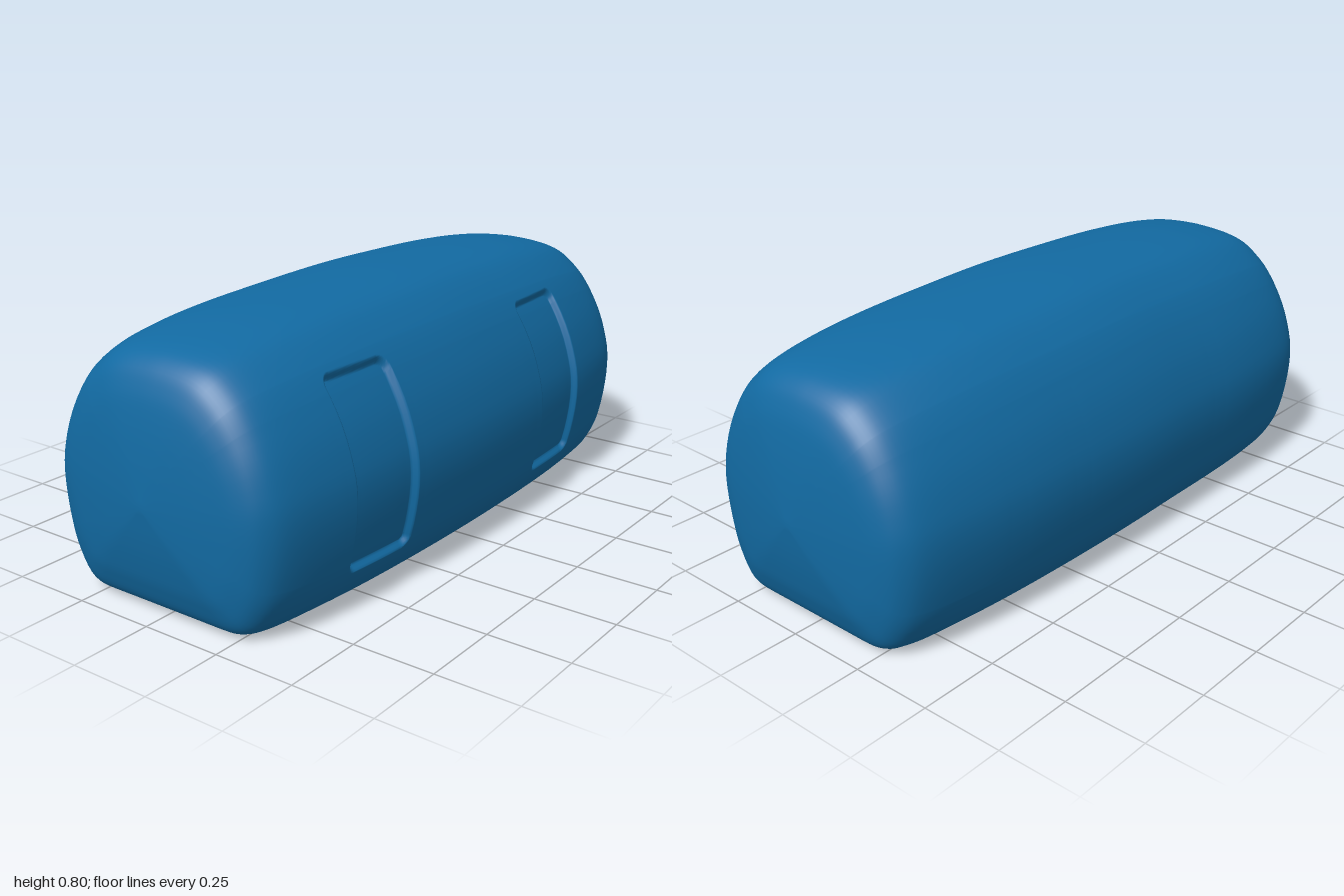
import * as THREE from 'three';

const AXIS_Y = 0.34;   // height of the long axis the sections shrink towards
const DEPTH = 0.02;    // depth of the front recesses
const RECESSES = [[-0.63, -0.375], [0.305, 0.56]]; // x ranges
const RECESS_Y = [0.12, 0.665];

// Half section at mid length: (half depth, height), bottom to top
const HALF = [[0, 0.003], [0.16, 0.003], [0.26, 0.003], [0.31, 0.007], [0.353, 0.025], [0.388, 0.067],
  [0.42, 0.13], [0.441, 0.21], [0.454, 0.3], [0.453, 0.38], [0.439, 0.45], [0.41, 0.535], [0.365, 0.62],
  [0.31, 0.694], [0.25, 0.746], [0.2, 0.775], [0.14, 0.791], [0.07, 0.799], [0, 0.802]];

// Stations: x, then scale of depth, upper half and lower half
const STATIONS = [[1, 0, 0, 0], [0.99, 0.25, 0.27, 0.27], [0.975, 0.48, 0.5, 0.52], [0.955, 0.66, 0.67, 0.74],
  [0.92, 0.78, 0.8, 0.94], [0.85, 0.86, 0.88, 0.985], [0.7, 0.92, 0.935, 0.99], [0.5, 0.965, 0.97, 0.995],
  [0.25, 0.99, 0.99, 1], [0, 1, 1, 1]];

const spline = (pts) => new THREE.CatmullRomCurve3(
  pts.map(([a, b, c]) => new THREE.Vector3(a, b, c)), false, 'catmullrom', 0.5);

const near = (v, edges) => edges.some((e) => Math.abs(v - e) < 0.035);

// Closed section, denser at the top and bottom edges of the recesses
function sectionPoints() {
  const curve = spline(HALF.map(([z, y]) => [z, y, 0]));
  const half = [];
  for (let i = 0; i <= 400; i++) {
    const p = curve.getPoint(i / 400);
    if (i % 10 === 0 || near(p.y, RECESS_Y)) half.push([p.x, p.y]);
  }
  return [...half, ...half.slice(1, -1).reverse().map(([z, y]) => [-z, y])];
}

// Stations along x, denser at the side edges of the recesses
function stationList() {
  const rows = [...STATIONS.map(([x, ...s]) => [-x, ...s]), ...STATIONS.slice(0, -1).reverse()];
  const depthTop = spline(rows.map(([x, d, t]) => [x, d, t]));
  const lower = spline(rows.map(([x, , , b]) => [x, b, 0]));
  const list = [];
  for (let i = 0; i <= 1200; i++) {
    const p = depthTop.getPoint(i / 1200);
    if (i % 12 === 0 || near(p.x, RECESSES.flat())) {
      list.push({ x: p.x, depth: p.y, top: p.z, bottom: lower.getPoint(i / 1200).y });
    }
  }
  return list;
}

// How far a front point is sunk: rounded rectangles with steep walls
function sink(x, y) {
  let s = 0;
  const r = 0.03, hy = (RECESS_Y[1] - RECESS_Y[0]) / 2, cy = (RECESS_Y[0] + RECESS_Y[1]) / 2;
  for (const [x0, x1] of RECESSES) {
    const dx = Math.abs(x - (x0 + x1) / 2) - (x1 - x0) / 2 + r;
    const dy = Math.abs(y - cy) - hy + r;
    const dist = Math.hypot(Math.max(dx, 0), Math.max(dy, 0)) + Math.min(Math.max(dx, dy), 0) - r;
    s = Math.max(s, THREE.MathUtils.smoothstep(-dist, 0, 0.01));
  }
  return s * DEPTH;
}

function bodyGeometry() {
  const section = sectionPoints(), stations = stationList();
  const n = section.length, pos = [], index = [];
  stations.forEach(({ x, depth, top, bottom }, i) => {
    section.forEach(([sz, sy], j) => {
      let z = sz * depth;
      let y = (sy - AXIS_Y) * (sy > AXIS_Y ? top : bottom);
      // the rear is slightly fuller towards -x
      if (z < 0 && x < 0) z *= 1 + 0.05 * THREE.MathUtils.smoothstep(-x, 0.2, 0.85);
      if (z > 0) {
        const len = Math.hypot(y, z) || 1;
        const k = 1 - sink(x, y + AXIS_Y) / len;
        y *= k;
        z *= k;
      }
      pos.push(x, y + AXIS_Y, z);
      if (i < stations.length - 1) {
        const j2 = (j + 1) % n;
        const a = i * n + j, b = a + n, c = (i + 1) * n + j2, d = i * n + j2;
        index.push(a, b, c, a, c, d);
      }
    });
  });
  const geo = new THREE.BufferGeometry();
  geo.setAttribute('position', new THREE.Float32BufferAttribute(pos, 3));
  geo.setIndex(index);
  geo.computeVertexNormals();
  // the two end poles face straight outwards
  const last = (stations.length - 1) * n;
  for (let j = 0; j < n; j++) {
    geo.attributes.normal.setXYZ(j, -1, 0, 0);
    geo.attributes.normal.setXYZ(last + j, 1, 0, 0);
  }
  return geo;
}

export function createModel() {
  const group = new THREE.Group();
  group.name = 'roundedCase';
  const body = new THREE.Mesh(bodyGeometry(), new THREE.MeshStandardMaterial({ color: 0x126aa2 }));
  body.name = 'bodyWithFrontRecesses';
  group.add(body);
  return group;
}
